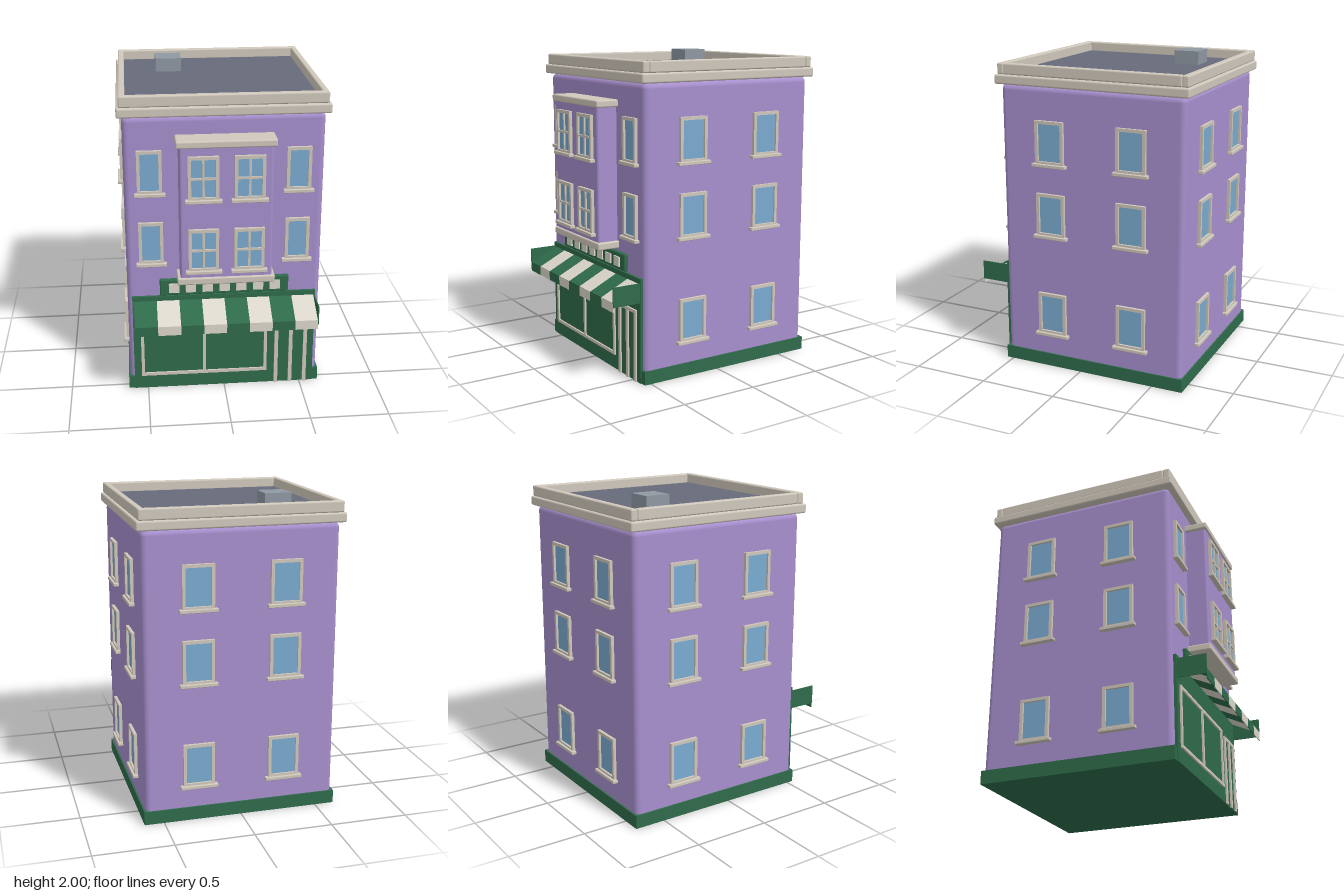
import * as THREE from 'three';
import { RoundedBoxGeometry } from 'three/addons/geometries/RoundedBoxGeometry.js';

const mat = (name, color) => Object.assign(new THREE.MeshStandardMaterial({ color }), { name });

export function createModel() {
  const purple = mat('purple wall', 0xa78fcd);
  const green = mat('shop green', 0x2f6b4b);
  const trim = mat('stone trim', 0xd0c8bc);
  const cream = mat('awning cream', 0xddd8cc);
  const glass = mat('window glass', 0x7aabd0);
  const slate = mat('roof slate', 0x666a7a);
  const grey = mat('hatch grey', 0x8f98a3);

  const model = new THREE.Group();
  model.name = 'townhouse';

  const add = (parent, name, geometry, material) => {
    const mesh = new THREE.Mesh(geometry, material);
    mesh.name = name;
    parent.add(mesh);
    return mesh;
  };
  // Box given by its limits on each axis; r rounds its edges
  const box = (parent, name, material, [x0, x1], [y0, y1], [z0, z1], r = 0) => {
    const size = [x1 - x0, y1 - y0, z1 - z0];
    const geometry = r ? new RoundedBoxGeometry(...size, 3, r) : new THREE.BoxGeometry(...size);
    const mesh = add(parent, name, geometry, material);
    mesh.position.set((x0 + x1) / 2, (y0 + y1) / 2, (z0 + z1) / 2);
    return mesh;
  };

  const FRONT = 0.535, BACK = -0.695, SIDE = 0.615, MID = -0.08;

  // Main body and plinth
  box(model, 'walls', purple, [-SIDE, SIDE], [0.01, 1.845], [BACK, FRONT], 0.035);
  box(model, 'plinth', green, [-0.625, 0.625], [0, 0.085], [-0.705, 0.545]);

  // Cornice, parapet and roof
  box(model, 'cornice', trim, [-0.645, 0.645], [1.845, 1.905], [-0.725, 0.565], 0.012);
  box(model, 'roofDeck', slate, [-0.6, 0.6], [1.9, 1.912], [-0.68, 0.52]);
  const parapetY = [1.905, 1.975];
  box(model, 'frontParapet', trim, [-0.63, 0.63], parapetY, [0.505, 0.55], 0.01);
  box(model, 'backParapet', trim, [-0.63, 0.63], parapetY, [-0.715, -0.672], 0.01);
  box(model, 'rightParapet', trim, [-0.63, -0.59], parapetY, [-0.672, 0.505], 0.01);
  box(model, 'leftParapet', trim, [0.59, 0.63], parapetY, [-0.672, 0.505], 0.01);
  box(model, 'roofHatch', grey, [-0.38, -0.21], [1.91, 2], [-0.46, -0.295]);

  // Window with its base line at the group origin, facing +z
  const rect = (path, w, y0, y1) => {
    path.moveTo(-w, y0);
    path.lineTo(w, y0);
    path.lineTo(w, y1);
    path.lineTo(-w, y1);
    path.closePath();
    return path;
  };
  const addWindow = (x, y, z, turn, width, { cross = false } = {}) => {
    const g = new THREE.Group();
    g.name = 'window';
    const h = 0.272, w = width / 2, b = 0.02;
    const outline = rect(new THREE.Shape(), w, 0, h);
    outline.holes.push(rect(new THREE.Path(), w - b, b - 0.005, h - b));
    add(g, 'windowFrame', new THREE.ExtrudeGeometry(outline, { depth: 0.02, bevelEnabled: false }), trim);
    box(g, 'windowPane', glass, [-w + 0.01, w - 0.01], [0.01, h - 0.01], [0, 0.006]);
    box(g, 'windowSill', trim, [-w - 0.019, w + 0.019], [-0.02, 0.002], [0, 0.035], 0.004);
    if (cross) {
      box(g, 'verticalGlazingBar', trim, [-0.007, 0.007], [0.015, h - b], [0, 0.016]);
      box(g, 'horizontalGlazingBar', trim, [-w + b, w - b], [0.125, 0.139], [0, 0.016]);
    }
    g.position.set(x, y, z);
    g.rotation.y = turn;
    model.add(g);
  };
  const rows = [0.235, 0.9, 1.365];
  rows.forEach((y, i) => {
    for (const s of [-1, 1]) {
      addWindow(SIDE, y, MID + s * 0.275, Math.PI / 2, 0.195);
      addWindow(-SIDE, y, MID + s * 0.275, -Math.PI / 2, 0.195);
      addWindow(s * 0.275, y, BACK, Math.PI, 0.2);
      if (i > 0) {
        addWindow(s * 0.458, y, FRONT, 0, 0.153);
        addWindow(s * 0.14, y, 0.67, 0, 0.187, { cross: true });
      }
    }
  });

  // Bay over the shop
  box(model, 'bay', purple, [-0.283, 0.283], [0.83, 1.7], [0.45, 0.67], 0.015);
  box(model, 'bayTop', trim, [-0.303, 0.303], [1.685, 1.73], [0.5, 0.682], 0.01);
  box(model, 'bayBase', trim, [-0.303, 0.303], [0.8, 0.847], [0.5, 0.682], 0.01);

  // Sign board with plain blocks
  box(model, 'signBoard', green, [-0.41, 0.41], [0.674, 0.783], [0.52, 0.56], 0.008);
  for (let i = -3; i <= 3; i++) {
    const x = i * 0.107;
    box(model, 'signBlock', cream, [x - 0.033, x + 0.033], [0.695, 0.757], [0.555, 0.569]);
  }

  // Shopfront with display window and door frames
  box(model, 'shopPanel', green, [-0.587, 0.587], [0, 0.667], [0.52, 0.552]);
  const bar = (name, x, y) => box(model, name, trim, x, y, [0.545, 0.563]);
  bar('displayTopBar', [-0.54, 0.28], [0.465, 0.485]);
  bar('displayBottomBar', [-0.54, 0.28], [0.095, 0.115]);
  for (const x of [-0.53, -0.13, 0.27]) bar('displayUpright', [x - 0.01, x + 0.01], [0.115, 0.465]);
  for (const x of [0.342, 0.437, 0.532]) bar('doorUpright', [x - 0.012, x + 0.012], [0, 0.44]);
  bar('doorTopBar', [0.33, 0.544], [0.44, 0.462]);

  // Striped awning: sloping cloth, hanging valance, end panels
  const stripe = 1.152 / 8, run = 0.195, drop = 0.095;
  for (let i = 0; i < 8; i++) {
    const x = -0.576 + (i + 0.5) * stripe;
    const cloth = i % 2 ? cream : green;
    const slope = add(model, 'awningStripe', new THREE.BoxGeometry(stripe, 0.006, Math.hypot(run, drop)), cloth);
    slope.position.set(x, 0.59, 0.6375);
    slope.rotation.x = Math.atan2(drop, run);
    box(model, 'valanceStripe', cloth, [x - stripe / 2, x + stripe / 2], [0.485, 0.547], [0.731, 0.737]);
  }
  for (const s of [-1, 1]) {
    const x = s * 0.578;
    box(model, 'awningEnd', green, [x - 0.003, x + 0.003], [0.515, 0.64], [0.535, 0.737]);
  }

  return model;
}
